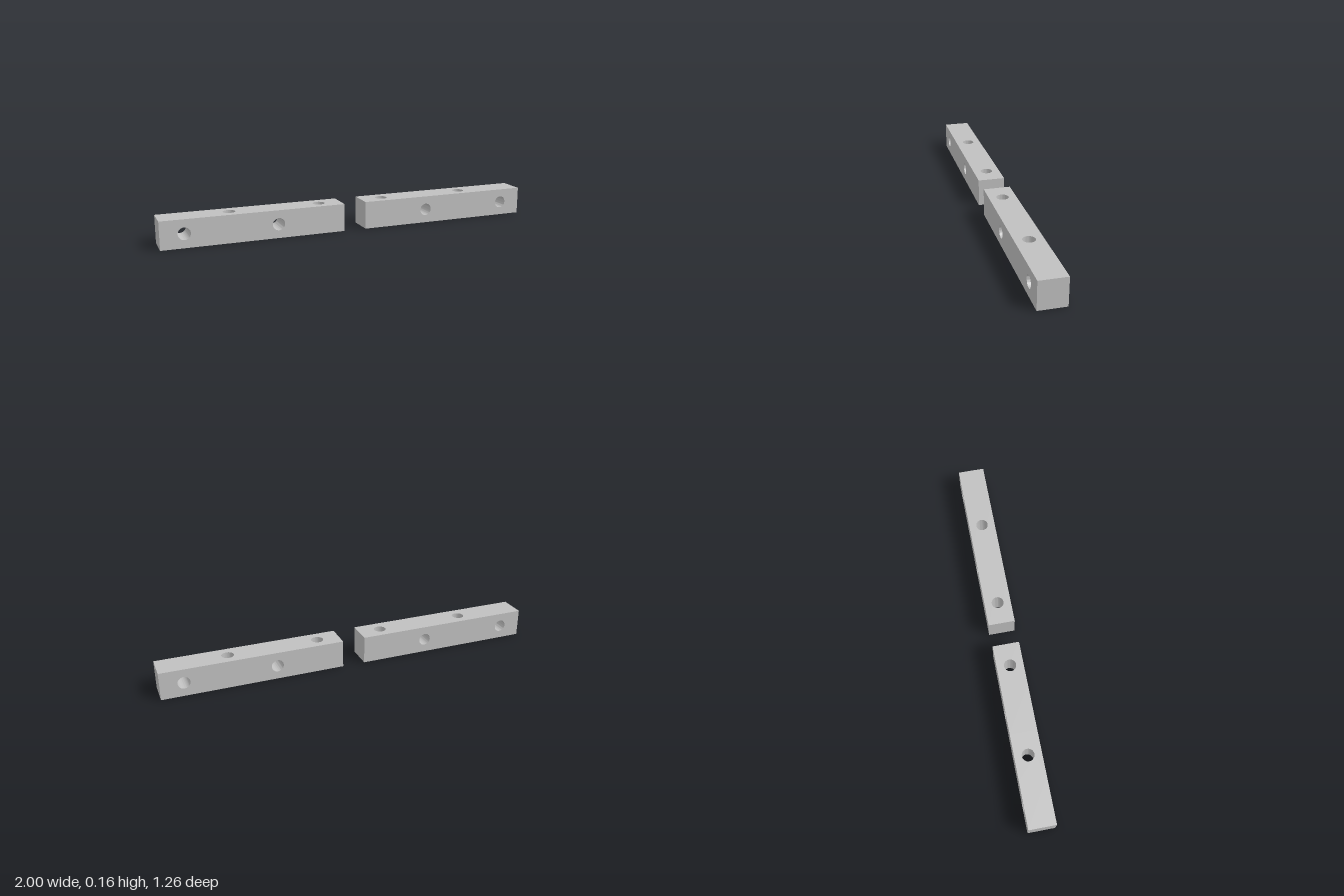
import * as THREE from 'three';
import { mergeGeometries, toCreasedNormals } from 'three/addons/utils/BufferGeometryUtils.js';

const LENGTH = 1.047, WIDTH = 0.155, HEIGHT = 0.16, HOLE = 0.035;
const QUARTER = LENGTH / 4;

// One quarter of a bar: a block with a centred bore, vertical or horizontal
function drilledBlock(index, vertical) {
  const across = vertical ? WIDTH : HEIGHT;
  const depth = vertical ? HEIGHT : WIDTH;
  const q = QUARTER / 2, a = across / 2;
  const shape = new THREE.Shape([
    new THREE.Vector2(-q, -a), new THREE.Vector2(q, -a),
    new THREE.Vector2(q, a), new THREE.Vector2(-q, a),
  ]);
  const bore = new THREE.Path();
  bore.absarc(0, 0, HOLE, 0, Math.PI * 2, true);
  shape.holes.push(bore);
  const geo = new THREE.ExtrudeGeometry(shape, { depth, bevelEnabled: false, curveSegments: 32 });
  geo.translate(0, 0, -depth / 2);

  // Leave out the end walls where two blocks meet
  const p = geo.attributes.position, kept = [];
  const onEnd = (i, x) => [0, 1, 2].every((k) => Math.abs(p.getX(i + k) - x) < 1e-5);
  for (let i = 0; i < p.count; i += 3) {
    if ((index > 0 && onEnd(i, -q)) || (index < 3 && onEnd(i, q))) continue;
    for (let k = 0; k < 3; k++) kept.push(p.getX(i + k), p.getY(i + k), p.getZ(i + k));
  }
  const block = new THREE.BufferGeometry();
  block.setAttribute('position', new THREE.Float32BufferAttribute(kept, 3));
  if (vertical) block.rotateX(-Math.PI / 2);
  block.translate((index - 1.5) * QUARTER, 0, 0);
  return block;
}

export function createModel() {
  const model = new THREE.Group();
  model.name = 'drilledBars';
  const grey = new THREE.MeshStandardMaterial({ color: 0xc0c0c0 });
  grey.name = 'grey';

  // Bores alternate in direction along the bar
  const blocks = [0, 1, 2, 3].map((i) => drilledBlock(i, i % 2 === 0));
  const barGeometry = toCreasedNormals(mergeGeometries(blocks), 0.5);

  // Two bars end to end, each turned half round from the other
  const angle = THREE.MathUtils.degToRad(30.3);
  for (const side of [1, -1]) {
    const bar = new THREE.Mesh(barGeometry, grey);
    bar.name = side > 0 ? 'leftBar' : 'rightBar';
    bar.position.set(side * 0.509, HEIGHT / 2, side * -0.297);
    bar.rotation.y = side > 0 ? angle : angle + Math.PI;
    model.add(bar);
  }
  return model;
}
